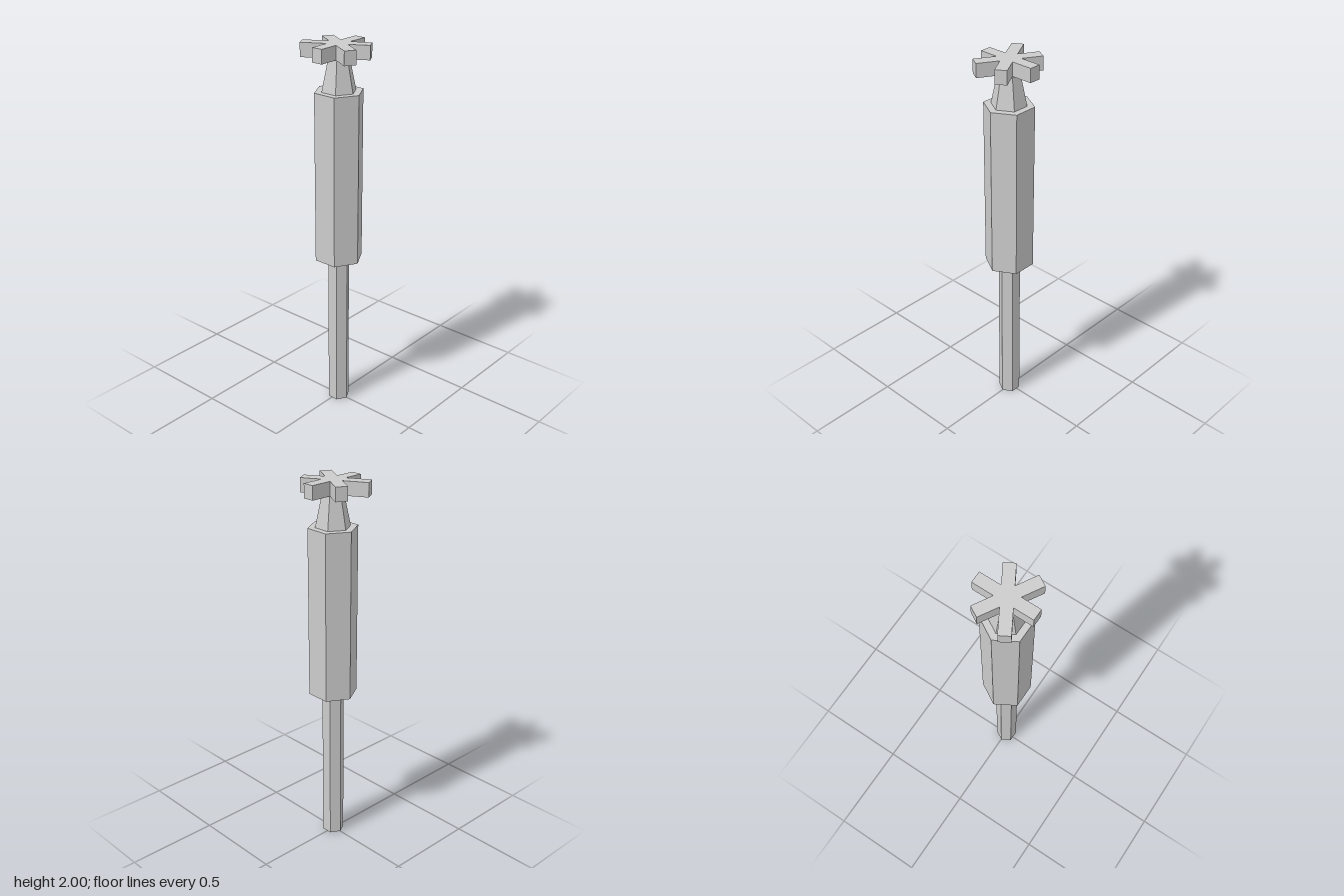
import * as THREE from 'three';

const material = new THREE.MeshStandardMaterial({ color: 0xcccccc, flatShading: true });

// Six-sided bar with corners on +x and -x, spanning y0 to y1
function hexBar(name, rBottom, rTop, y0, y1, x) {
  const geometry = new THREE.CylinderGeometry(rTop, rBottom, y1 - y0, 6);
  geometry.rotateY(Math.PI / 6);
  geometry.translate(x, (y0 + y1) / 2, 0.001);
  const mesh = new THREE.Mesh(geometry, material);
  mesh.name = name;
  return mesh;
}

// Six-armed star plate; arm lengths differ slightly
function starHead(lengths, width, y0, y1) {
  const points = [];
  lengths.forEach((length, i) => {
    const a = Math.PI / 6 + i * Math.PI / 3;
    const c = Math.cos(a), s = Math.sin(a), h = width / 2;
    // the two corners of the arm's end
    for (const side of [-h, h]) {
      points.push(new THREE.Vector2(c * length - s * side, s * length + c * side));
    }
    // notch before the next arm
    const n = a + Math.PI / 6;
    points.push(new THREE.Vector2(Math.cos(n) * width, Math.sin(n) * width));
  });
  const geometry = new THREE.ExtrudeGeometry(new THREE.Shape(points), {
    depth: y1 - y0, bevelEnabled: false,
  });
  geometry.rotateX(-Math.PI / 2);
  geometry.translate(0.005, y0, 0.003);
  const mesh = new THREE.Mesh(geometry, material);
  mesh.name = 'starHead';
  return mesh;
}

export function createModel() {
  const model = new THREE.Group();
  model.name = 'starHeadedRod';
  model.add(
    hexBar('shaft', 0.058, 0.058, 0, 0.86, 0.006),
    hexBar('body', 0.128, 0.128, 0.86, 1.762, 0.007),
    hexBar('neck', 0.09, 0.055, 1.762, 1.928, 0.007),
    starHead([0.16, 0.165, 0.16, 0.183, 0.155, 0.168], 0.06, 1.928, 2),
  );
  return model;
}
